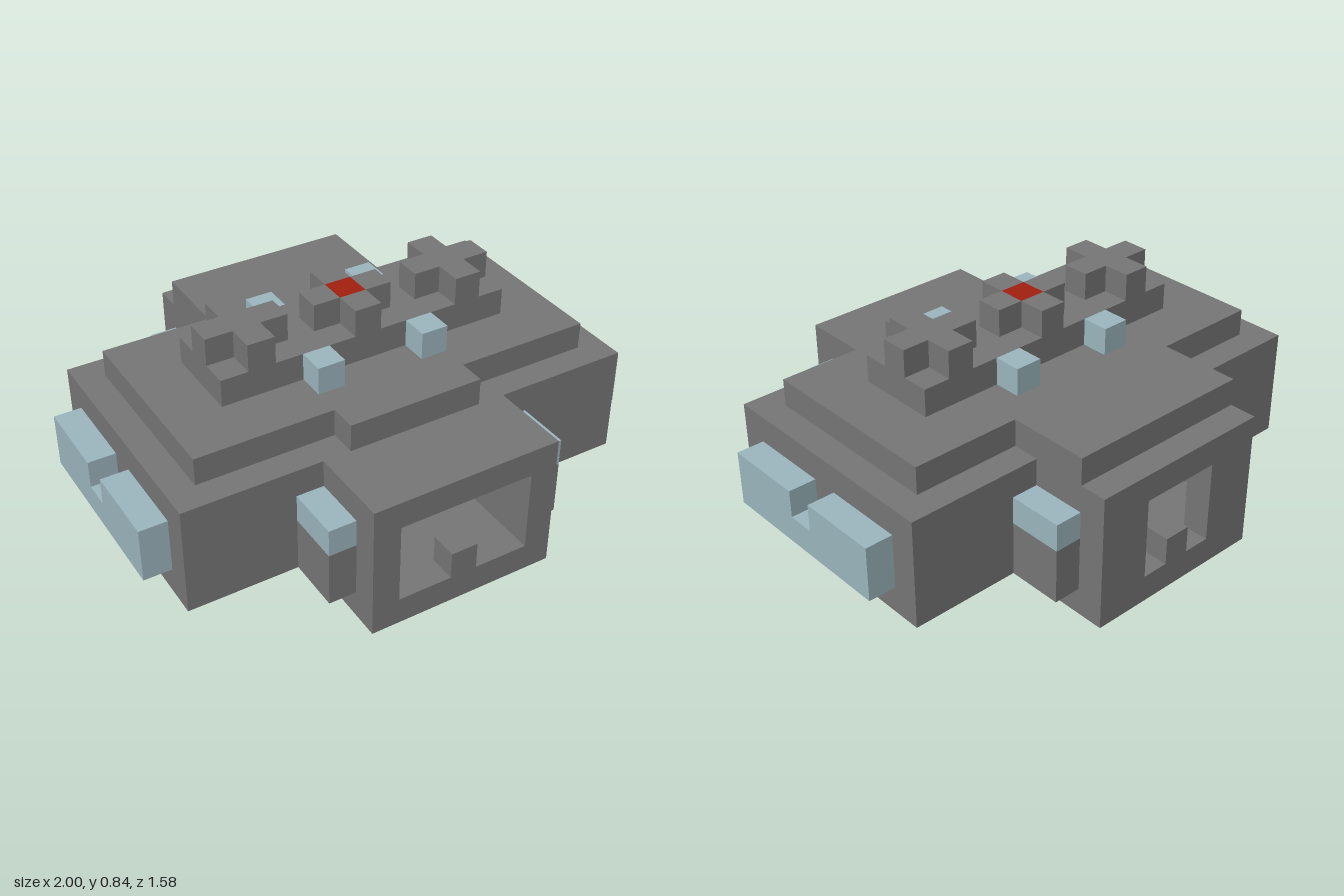
import * as THREE from 'three';

const U = 2 / 19; // one block

export function createModel() {
  const model = new THREE.Group();
  model.name = 'blockFortress';
  const mat = (name, color) => {
    const m = new THREE.MeshStandardMaterial({ color });
    m.name = name;
    return m;
  };
  const stone = mat('stone grey', 0x777777);
  const glass = mat('pale blue glass', 0x9db7bf);
  const red = mat('beacon red', 0xa32010);

  // Box between two corners, measured in blocks
  const box = (name, m, x0, x1, y0, y1, z0, z1) => {
    const mesh = new THREE.Mesh(new THREE.BoxGeometry((x1 - x0) * U, (y1 - y0) * U, (z1 - z0) * U), m);
    mesh.position.set((x0 + x1) / 2 * U, (y0 + y1) / 2 * U, (z0 + z1) / 2 * U);
    mesh.name = name;
    model.add(mesh);
  };
  // The same box on the left and right sides
  const pair = (name, m, x0, x1, ...rest) => {
    box(name + 'Left', m, x0, x1, ...rest);
    box(name + 'Right', m, -x1, -x0, ...rest);
  };

  // Cross-shaped foundation
  box('foundation', stone, -7.5, 7.5, 0, 1, -3.5, 3.5);
  box('frontFloor', stone, -3.5, 3.5, 0, 1, 3.5, 7.5);
  box('backFloor', stone, -3.5, 3.5, 0, 1, -7.5, -3.5);

  // Hall walls
  pair('sideWall', stone, 7.5, 8.5, 1, 5, -4.5, 4.5);
  pair('frontWall', stone, 3.5, 7.5, 1, 5, 3.5, 4.5);
  pair('backWall', stone, 3.5, 7.5, 1, 5, -4.5, -3.5);

  // Front porch: wide passage into the hall
  pair('frontPorchWall', stone, 2.5, 3.5, 1, 4, 3.5, 7.5);
  box('frontPorchLintel', stone, -3.5, 3.5, 4, 5, 3.5, 7.5);
  box('frontPost', stone, -0.5, 0.5, 1, 2, 6.5, 7.5);

  // Back porch: narrow doorway in a thin wall
  pair('backDoorWall', stone, 1.5, 3.5, 1, 4, -7.5, -6.5);
  box('backPorchLintel', stone, -3.5, 3.5, 4, 5, -7.5, -3.5);
  box('backPost', stone, -0.5, 0.5, 1, 2, -7.5, -6.5);

  // Porch side bays with a glass top course
  for (const [end, z] of [['front', 4.5], ['back', -6.5]]) {
    pair(end + 'Bay', stone, 3.5, 4.5, 1, 3, z, z + 2);
    pair(end + 'BayWindow', glass, 3.5, 4.5, 3, 4, z, z + 2);
  }

  // Large notched side windows
  pair('sideWindowLower', glass, 8.5, 9.5, 2, 3, -3.5, 3.5);
  pair('sideWindowUpperFront', glass, 8.5, 9.5, 3, 4, 0.5, 3.5);
  pair('sideWindowUpperBack', glass, 8.5, 9.5, 3, 4, -3.5, -0.5);

  // Stepped roof
  box('roof', stone, -7.5, 7.5, 5, 6, -3.5, 3.5);
  box('frontRoof', stone, -2.5, 2.5, 5, 6, 3.5, 4.5);
  box('backRoof', stone, -3.5, 3.5, 5, 6, -6.5, -3.5);

  // Ridge, roof lights and cross-shaped turrets
  box('ridge', stone, -5.5, 5.5, 6, 7, -1.5, 1.5);
  pair('frontRoofLight', glass, 1.5, 2.5, 6, 7, 1.5, 2.5);
  pair('backRoofLight', glass, 1.5, 2.5, 6, 7, -2.5, -1.5);
  for (const x of [-4, 0, 4]) {
    box('turretCentre', x === 0 ? red : stone, x - 0.5, x + 0.5, 7, 8, -0.5, 0.5);
    for (const [dx, dz] of [[1, 0], [-1, 0], [0, 1], [0, -1]]) {
      box('turretArm', stone, x + dx - 0.5, x + dx + 0.5, 7, 8, dz - 0.5, dz + 0.5);
    }
  }
  return model;
}
